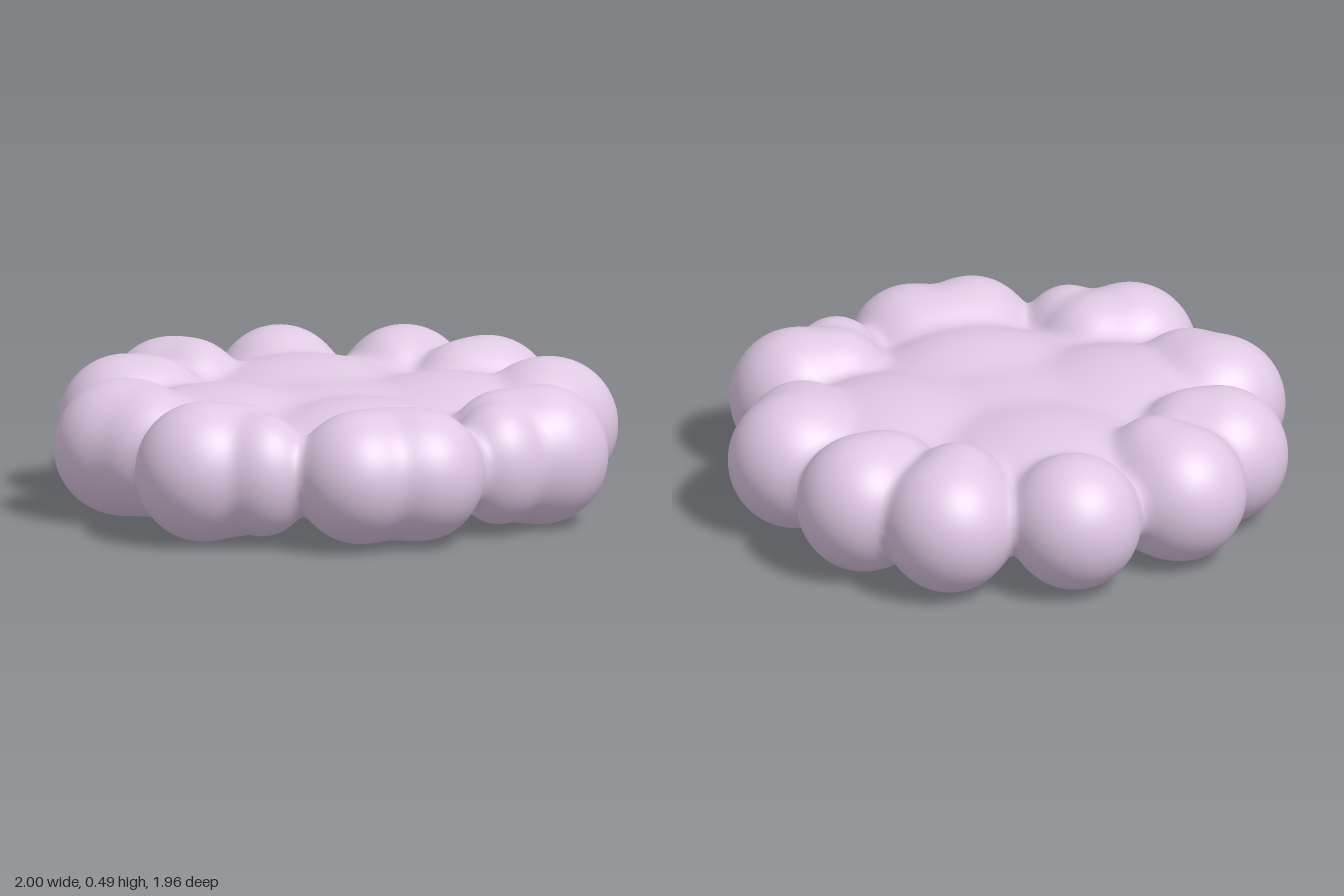
import * as THREE from 'three';
import { mergeVertices } from 'three/addons/utils/BufferGeometryUtils.js';

// Puffs of the cloud: x, z, then radii across x, up y, along z
const centrePuffs = [
  [0, 0, 0.78, 0.158, 0.78],
  [0, 0.03, 0.36, 0.168, 0.34],
  [0, -0.37, 0.40, 0.2, 0.40],
  [0, 0.37, 0.36, 0.192, 0.32],
  // back and front middle of the rim
  [0, -0.75, 0.23, 0.238, 0.23],
  [0, 0.70, 0.26, 0.225, 0.2],
];
const sidePuffs = [
  [0.41, 0.03, 0.36, 0.197, 0.40],
  // back shoulders, stretched toward the middle
  [0.42, -0.64, 0.228, 0.238, 0.228],
  [0.36, -0.55, 0.19, 0.242, 0.22],
  [0.65, -0.385, 0.23, 0.238, 0.233],
  [0.55, -0.35, 0.2, 0.228, 0.19],
  // sides
  [0.77, 0.02, 0.23, 0.235, 0.23],
  [0.70, 0.15, 0.2, 0.215, 0.2],
  [0.70, 0.04, 0.18, 0.22, 0.24],
  // front corners with small bumps
  [0.605, 0.51, 0.232, 0.242, 0.232],
  [0.47, 0.50, 0.2, 0.228, 0.19],
  [0.42, 0.635, 0.17, 0.21, 0.17],
  // front pair
  [0.11, 0.753, 0.22, 0.228, 0.225],
];

const puffs = [
  ...centrePuffs, ...sidePuffs,
  ...sidePuffs.map(([x, ...rest]) => [-x, ...rest]),
];
const MID = 0.247;    // height of the middle plane
const BLEND = 0.017;  // softness of the joins

// Blended distance to all puffs, y measured from the middle plane
function field(x, y, z) {
  let sum = 0;
  for (const [cx, cz, rx, ry, rz] of puffs) {
    const a = (x - cx) / rx, b = y / ry, c = (z - cz) / rz;
    const k = Math.hypot(a, b, c);
    const slope = Math.hypot(a / rx, b / ry, c / rz);
    const d = slope < 1e-6 ? -Math.min(rx, ry, rz) : k * (k - 1) / slope;
    sum += Math.exp(-d / BLEND);
  }
  return -BLEND * Math.log(sum + 1e-300);
}

// Point where f turns from inside (negative) to outside
function findEdge(f, lo, hi) {
  for (let i = 0; i < 18; i++) {
    const m = (lo + hi) / 2;
    if (f(m) < 0) lo = m; else hi = m;
  }
  return (lo + hi) / 2;
}

function cloudGeometry(around = 288, rings = 72) {
  const top = [], bottom = [], index = [];
  for (let i = 0; i < around; i++) {
    const t = (i / around) * Math.PI * 2;
    const sx = Math.sin(t), cz = Math.cos(t);
    const outline = findEdge((r) => field(r * sx, 0, r * cz), 0.5, 1.1);
    for (let j = 0; j <= rings; j++) {
      // rings crowd toward the rim, where the surface turns steep
      const r = outline * Math.sin((j / rings) * Math.PI / 2);
      const x = r * sx, z = r * cz;
      const h = j === rings ? 0 : findEdge((y) => field(x, y, z), 0, 0.3);
      top.push(x, MID + h, z);
      bottom.push(x, MID - h, z);
    }
  }
  // two caps sharing the rim
  const row = rings + 1, offset = around * row;
  for (let i = 0; i < around; i++) {
    const n = (i + 1) % around;
    for (let j = 0; j < rings; j++) {
      const a = i * row + j, b = a + 1, d = n * row + j, c = d + 1;
      index.push(a, b, c);
      if (j > 0) index.push(a, c, d);
      index.push(offset + a, offset + c, offset + b);
      if (j > 0) index.push(offset + a, offset + d, offset + c);
    }
  }
  const g = new THREE.BufferGeometry();
  g.setAttribute('position', new THREE.Float32BufferAttribute([...top, ...bottom], 3));
  g.setIndex(index);
  const welded = mergeVertices(g, 1e-5);
  welded.computeVertexNormals();
  return welded;
}

export function createModel() {
  const lilac = new THREE.MeshStandardMaterial({ color: 0xdfc9e4 });
  lilac.name = 'lilac';
  const cloud = new THREE.Mesh(cloudGeometry(), lilac);
  cloud.name = 'puffyCloud';
  const model = new THREE.Group();
  model.name = 'cloudPlatform';
  model.add(cloud);
  return model;
}
